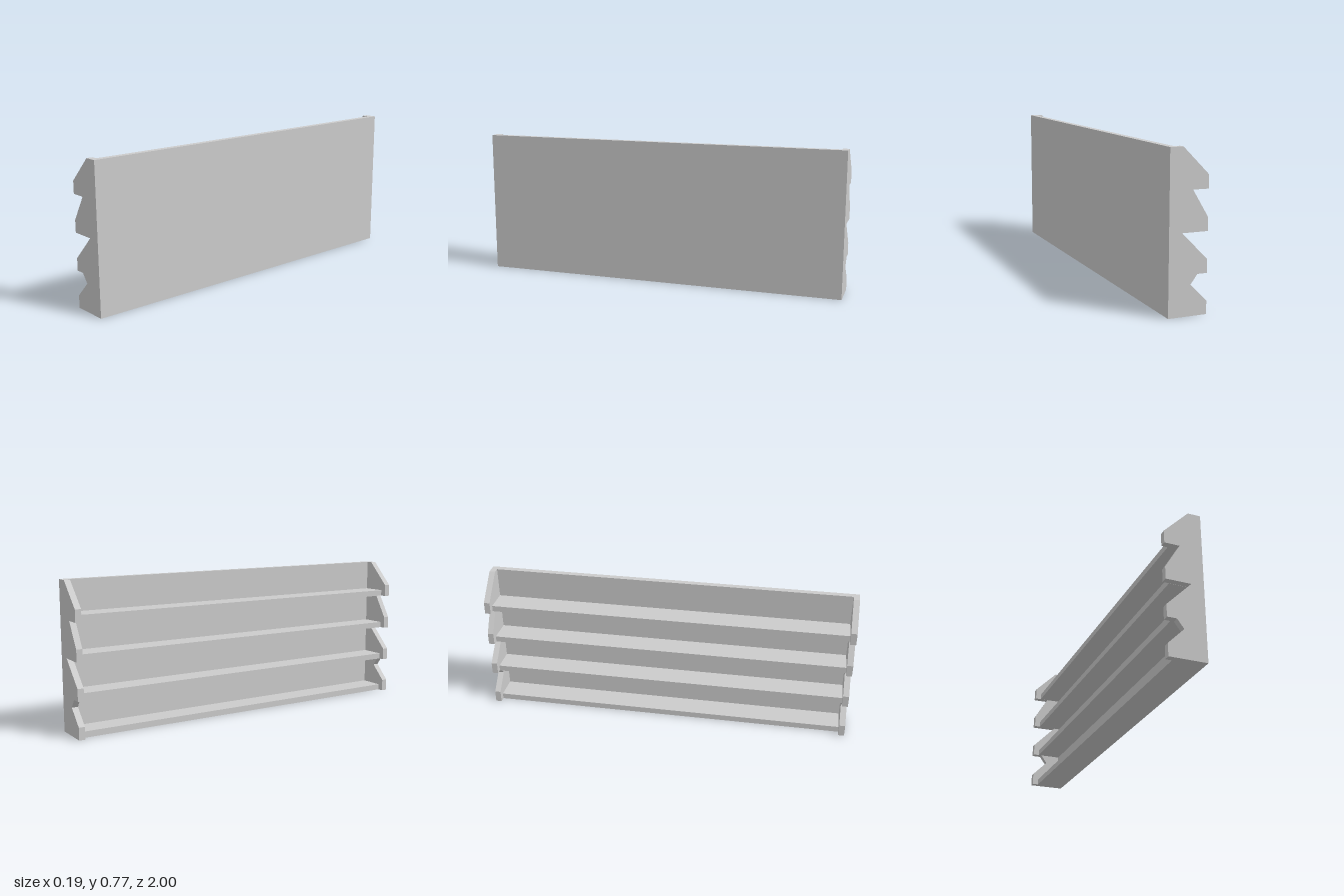
import * as THREE from 'three';

const HEIGHT = 0.775, HALF_DEPTH = 0.097, HALF_LENGTH = 1, BOARD = 0.032;

export function createModel() {
  const group = new THREE.Group();
  const material = new THREE.MeshStandardMaterial({ color: 0xcccccc, flatShading: true });
  const add = (name, geometry, x, y, z) => {
    const mesh = new THREE.Mesh(geometry, material);
    mesh.name = name;
    mesh.position.set(x, y, z);
    group.add(mesh);
  };

  // Toothed end panels, profile in x/y
  const profile = [
    [-HALF_DEPTH, 0], [HALF_DEPTH, 0], [HALF_DEPTH, HEIGHT], [0.032, HEIGHT],
    [-HALF_DEPTH, 0.646], [-HALF_DEPTH, 0.581], [-0.019, 0.581],
    [-HALF_DEPTH, 0.452], [-HALF_DEPTH, 0.388], [0.032, 0.388],
    [-HALF_DEPTH, 0.258], [-HALF_DEPTH, 0.194], [-0.048, 0.194], [-0.014, 0.148],
    [-HALF_DEPTH, 0.065],
  ].map(([x, y]) => new THREE.Vector2(x, y));
  const panel = new THREE.ExtrudeGeometry(new THREE.Shape(profile), { depth: BOARD, bevelEnabled: false });
  add('frontEndPanel', panel, 0, 0, HALF_LENGTH - BOARD);
  add('backEndPanel', panel, 0, 0, -HALF_LENGTH);

  // Backboard between the end panels
  const inner = 2 * (HALF_LENGTH - BOARD);
  add('backboard', new THREE.BoxGeometry(BOARD, HEIGHT, inner), HALF_DEPTH - BOARD / 2, HEIGHT / 2, 0);

  // Four shelves, flush with the underside of each tooth
  const shelf = new THREE.BoxGeometry(2 * (HALF_DEPTH - BOARD), BOARD, inner);
  for (let i = 0; i < 4; i++) add(`shelf${i + 1}`, shelf, 0, i * HEIGHT / 4 + BOARD / 2, 0);

  return group;
}
